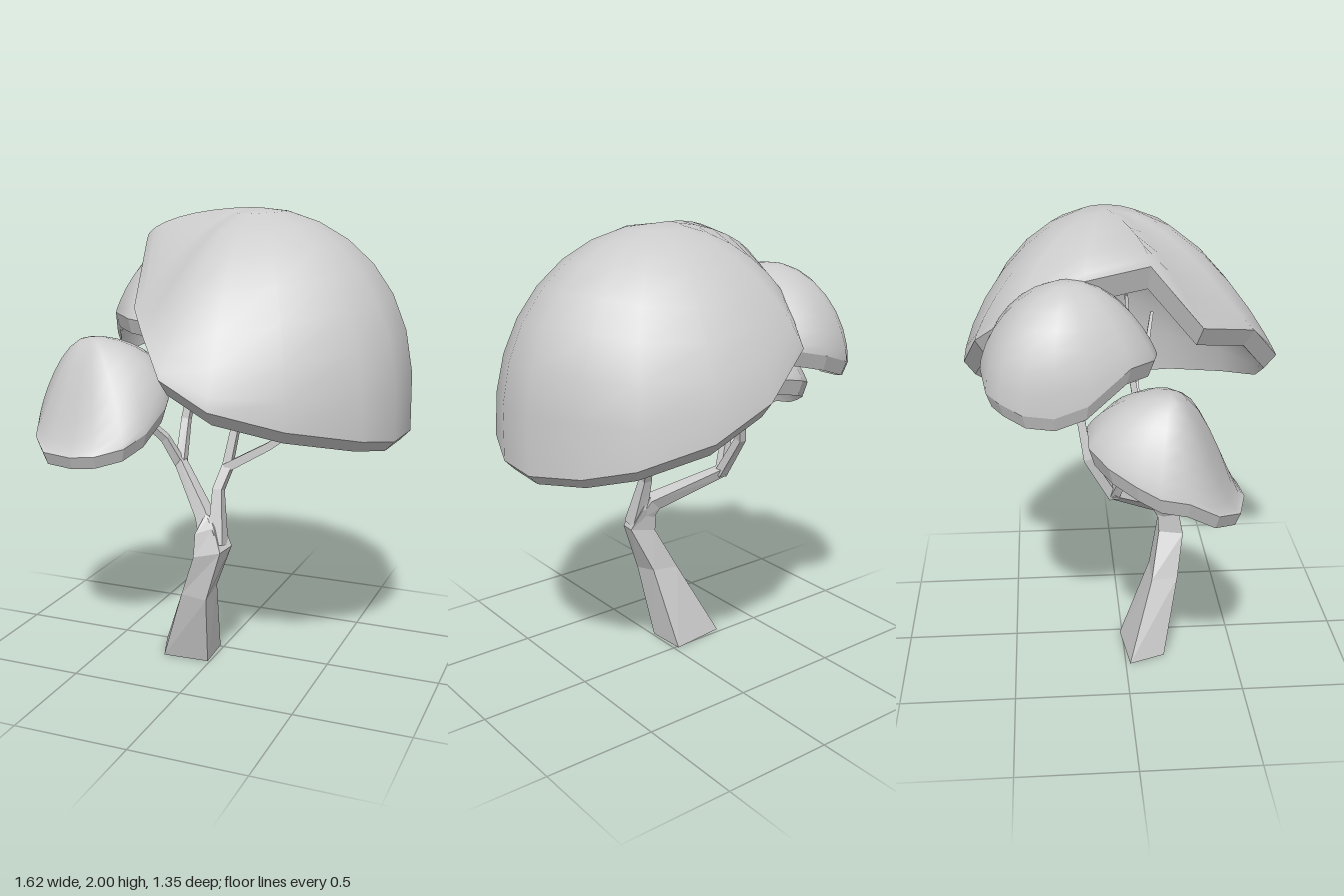
import * as THREE from 'three';
import { mergeVertices } from 'three/addons/utils/BufferGeometryUtils.js';

const V = (x, y, z) => new THREE.Vector3(x, y, z);
const smooth = new THREE.MeshStandardMaterial({ color: 0xcccccc });
const faceted = new THREE.MeshStandardMaterial({ color: 0xcccccc, flatShading: true });

// Joins closed loops of points (counter-clockwise seen from the far end) into a surface
function skin(rings, material, name) {
  const n = rings[0].length, index = [];
  for (let j = 0; j < rings.length - 1; j++) {
    for (let i = 0; i < n; i++) {
      const a = j * n + i, b = j * n + (i + 1) % n;
      index.push(a, b, b + n, a, b + n, a + n);
    }
  }
  let geometry = new THREE.BufferGeometry().setFromPoints(rings.flat());
  geometry.setIndex(index);
  geometry = mergeVertices(geometry, 1e-5);
  geometry.computeVertexNormals();
  const mesh = new THREE.Mesh(geometry, material);
  mesh.name = name;
  return mesh;
}

// Loops rising from a rim to an apex; steepness below 1 bulges, above 1 turns conical
function domeRings(rim, apex, steepness, levels = 8) {
  const rings = [];
  for (let j = 0; j <= levels; j++) {
    const a = (1 - j / levels) * Math.PI / 2;
    rings.push(rim.map((p, i) => {
      const bulge = Math.max(0, 0.2 * (1 - steepness[i]));
      const r = Math.sin(a) * (1 + bulge * Math.sin(2 * a));
      const h = Math.pow(Math.max(Math.cos(a), 0), steepness[i]);
      return V(
        apex.x + (p.x - apex.x) * r,
        p.y + (apex.y - p.y) * h,
        apex.z + (p.z - apex.z) * r
      );
    }));
  }
  return rings;
}

// Hollow canopy: smooth outside, sharp rim band, smooth inside
function canopy(name, apex, points) {
  const group = new THREE.Group();
  group.name = name;
  const rim = points.map(p => V(p[0], p[1], p[2]));
  const steepness = points.map(p => p[3]);
  const centre = rim.reduce((s, p) => s.add(p), V(0, 0, 0)).divideScalar(rim.length);
  const inner = rim.map(p => p.clone().lerp(centre, 0.07).add(V(0, -0.065, 0)));
  const innerApex = apex.clone().add(V(0, -0.08, 0));
  group.add(
    skin(domeRings(rim, apex, steepness), smooth, name + 'Outside'),
    skin([inner, rim], faceted, name + 'Rim'),
    skin(domeRings(inner, innerApex, steepness).reverse(), smooth, name + 'Inside')
  );
  return group;
}

// Tapered four-sided branch along a few [x, y, z, radius] points
function branch(name, path) {
  const pts = path.map(p => V(p[0], p[1], p[2]));
  const rings = pts.map((p, i) => {
    const t = pts[Math.min(i + 1, pts.length - 1)].clone()
      .sub(pts[Math.max(i - 1, 0)]).normalize();
    const u = t.clone().cross(V(0, 0, 1)).normalize();
    const v = u.clone().cross(t);
    return [0, 1, 2, 3].map(k => {
      const a = Math.PI / 4 + k * Math.PI / 2, r = path[i][3];
      return p.clone().addScaledVector(u, Math.cos(a) * r).addScaledVector(v, -Math.sin(a) * r);
    });
  });
  rings.push(rings[0].map(() => pts[pts.length - 1]));
  return skin(rings, faceted, name);
}

export function createModel() {
  const tree = new THREE.Group();
  tree.name = 'tree';

  // Leaning trunk with a closed foot
  const foot = V(-0.13, 0, 0.09);
  tree.add(skin([
    [foot, foot, foot, foot],
    [V(-0.22, 0, 0.18), V(-0.01, 0, 0.17), V(-0.02, 0, -0.01), V(-0.28, 0, 0.02)],
    [V(-0.1, 0.34, 0.25), V(0.02, 0.33, 0.26), V(0.02, 0.36, 0.13), V(-0.12, 0.34, 0.13)],
    [V(-0.03, 0.53, 0.28), V(0.09, 0.56, 0.27), V(0.11, 0.57, 0.18), V(-0.02, 0.54, 0.17)],
    [V(-0.03, 0.63, 0.26), V(0.05, 0.66, 0.24), V(0.06, 0.66, 0.16), V(-0.02, 0.66, 0.16)],
    [V(0, 0.71, 0.21), V(0.02, 0.7, 0.21), V(0.02, 0.71, 0.17), V(0, 0.71, 0.17)]
  ], faceted, 'trunk'));

  // Boughs and twigs
  const boughs = {
    leftBough: [[0.06, 0.58, 0.22, 0.05], [0.04, 0.81, 0.16, 0.03], [0.07, 0.92, 0.11, 0.03]],
    leftTwig: [[0.06, 0.88, 0.12, 0.028], [0.12, 1.27, 0.05, 0.018], [0.14, 1.62, 0.03, 0.01]],
    leftOuterTwig: [[0.06, 0.9, 0.12, 0.028], [0.25, 1.01, 0.1, 0.023], [0.4, 1.12, 0.09, 0.02]],
    leftForkA: [[0.39, 1.11, 0.09, 0.02], [0.47, 1.25, 0.15, 0.015], [0.52, 1.42, 0.18, 0.01]],
    leftForkB: [[0.39, 1.11, 0.09, 0.02], [0.42, 1.25, -0.02, 0.015], [0.44, 1.45, -0.08, 0.01]],
    rightBough: [[0.03, 0.6, 0.22, 0.055], [-0.02, 0.69, 0.17, 0.045], [-0.24, 0.86, -0.06, 0.03]],
    rightTwig: [[-0.23, 0.84, -0.05, 0.028], [-0.29, 0.97, -0.01, 0.025],
      [-0.38, 1.08, 0.06, 0.02], [-0.48, 1.22, 0.12, 0.012]],
    rightBackTwig: [[-0.23, 0.84, -0.05, 0.03], [-0.25, 1.03, -0.16, 0.026], [-0.22, 1.22, -0.19, 0.024]],
    rightForkA: [[-0.23, 1.2, -0.19, 0.024], [-0.12, 1.36, -0.22, 0.022], [-0.15, 1.48, -0.24, 0.018],
      [-0.2, 1.62, -0.25, 0.01]],
    rightForkB: [[-0.23, 1.2, -0.19, 0.024], [-0.27, 1.33, -0.2, 0.02], [-0.36, 1.47, -0.24, 0.016],
      [-0.38, 1.58, -0.26, 0.01]]
  };
  for (const [name, path] of Object.entries(boughs)) tree.add(branch(name, path));

  // Large canopy, rim raised on its right: [x, y, z, steepness]
  tree.add(canopy('largeCanopy', V(0.13, 2, -0.06), [
    [-0.315, 1.87, 0.09, 1.1], [-0.275, 1.6, 0.31, 2.3], [-0.13, 1.54, 0.545, 2.4],
    [0, 1.38, 0.67, 1.9], [0.2, 1.27, 0.67, 1.6], [0.47, 1.19, 0.55, 1.2],
    [0.71, 1.12, 0.31, 0.95], [0.79, 1.08, 0.1, 0.85], [0.805, 1.08, -0.12, 0.8],
    [0.71, 1.11, -0.35, 0.85], [0.57, 1.16, -0.52, 1], [0.3, 1.25, -0.655, 1.2],
    [0.04, 1.37, -0.675, 1.4], [-0.18, 1.54, -0.61, 1.7], [-0.255, 1.67, -0.44, 1.5],
    [-0.3, 1.81, -0.17, 1.2]
  ]));

  // Middle canopy at the back
  tree.add(canopy('middleCanopy', V(-0.32, 1.82, -0.23), [
    [-0.2, 1.55, 0.07, 1.6], [-0.1, 1.57, -0.08, 1.4], [-0.06, 1.57, -0.25, 1.3],
    [-0.08, 1.55, -0.42, 1.4], [-0.18, 1.52, -0.56, 1.5], [-0.34, 1.48, -0.585, 1.3],
    [-0.48, 1.43, -0.56, 1.2], [-0.54, 1.41, -0.51, 1.1], [-0.6, 1.38, -0.42, 1],
    [-0.615, 1.37, -0.3, 0.95], [-0.6, 1.41, -0.17, 1.2], [-0.52, 1.53, 0, 1.7],
    [-0.41, 1.52, 0.1, 1.8], [-0.31, 1.51, 0.12, 1.7]
  ]));

  // Small low canopy, peaked and tipped towards the front
  tree.add(canopy('smallCanopy', V(-0.57, 1.44, 0.15), [
    [-0.81, 1.09, 0.2, 1.8], [-0.765, 1.01, 0.32, 2.6], [-0.67, 0.97, 0.42, 3.8],
    [-0.52, 0.97, 0.46, 3.8], [-0.41, 0.98, 0.445, 2.8], [-0.3, 1.01, 0.385, 2],
    [-0.24, 1.06, 0.29, 1.5], [-0.21, 1.15, 0.15, 1.2], [-0.24, 1.21, 0.02, 1.2],
    [-0.33, 1.25, -0.1, 1.4], [-0.47, 1.27, -0.17, 1.6], [-0.61, 1.24, -0.17, 1.7],
    [-0.71, 1.2, -0.1, 1.7], [-0.77, 1.15, 0, 1.7], [-0.805, 1.11, 0.09, 1.7]
  ]));

  return tree;
}
